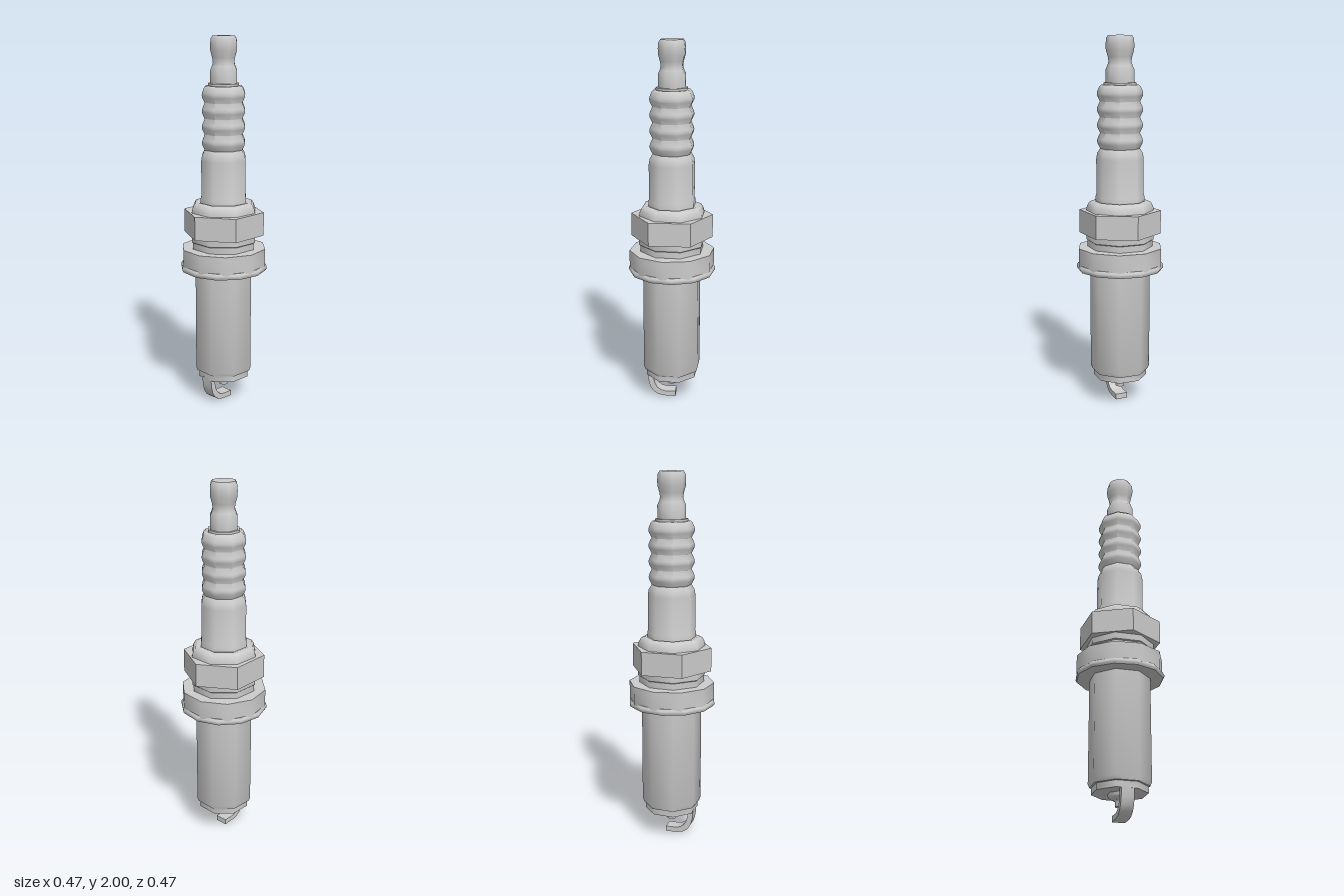
import * as THREE from 'three';
import { toCreasedNormals } from 'three/addons/utils/BufferGeometryUtils.js';

const material = new THREE.MeshStandardMaterial({ color: 0xcccccc });

export function createModel() {
  const model = new THREE.Group();

  const add = (name, geometry, crease = 0.9) => {
    const mesh = new THREE.Mesh(toCreasedNormals(geometry, crease), material);
    mesh.name = name;
    model.add(mesh);
    return mesh;
  };

  // Turned part from [radius, height] pairs, listed bottom to top
  const turned = (name, profile, sides = 8, start = 0) =>
    add(name, new THREE.LatheGeometry(
      profile.map(([r, y]) => new THREE.Vector2(r, y)), sides, start));

  // Metal terminal with a waisted tip
  turned('terminal', [
    [0, 1.74], [0.087, 1.74], [0.087, 1.757], [0.075, 1.757], [0.075, 1.825],
    [0.066, 1.845], [0.06, 1.865], [0.064, 1.89], [0.074, 1.925],
    [0.075, 1.955], [0.072, 1.985], [0.062, 2], [0, 2],
  ]);

  // Ceramic insulator: plain barrel, then evenly spaced ribs
  const ribs = [];
  for (let i = 0; i < 4; i++) {
    const y = 1.45 + i * 0.083;
    ribs.push([0.106, y - 0.04], [0.12, y - 0.012], [0.122, y], [0.12, y + 0.012]);
  }
  turned('insulator', [
    [0, 1.1], [0.131, 1.1], [0.131, 1.155], [0.127, 1.165], [0.127, 1.355],
    [0.122, 1.385], ...ribs, [0.11, 1.735], [0.1, 1.745], [0, 1.745],
  ]);

  // Crimped collar that runs down through the nut to the flange
  turned('collar', [
    [0, 0.86], [0.176, 0.86], [0.176, 0.91], [0.183, 0.915], [0.183, 1.075],
    [0.178, 1.1], [0.165, 1.122], [0.145, 1.13], [0.125, 1.125],
  ]);

  // Hexagonal wrench nut, turned slightly off axis
  const nut = add('hexNut', new THREE.CylinderGeometry(0.221, 0.221, 0.127, 6), 0.3);
  nut.position.y = 1.013;
  nut.rotation.y = -0.07;

  // Seat flange and sealing ring
  turned('flange', [
    [0.15, 0.775], [0.232, 0.775], [0.232, 0.876], [0.15, 0.876],
  ], 10, Math.PI / 2);
  turned('sealingRing', [
    [0.15, 0.752], [0.232, 0.752], [0.237, 0.76], [0.237, 0.773],
    [0.228, 0.785], [0.15, 0.785],
  ], 12);

  // Long shell with a stepped lower end
  turned('shell', [
    [0, 0.138], [0.146, 0.138], [0.146, 0.172], [0.155, 0.174],
    [0.163, 0.194], [0.163, 0.78],
  ]);

  // Insulator nose and centre electrode
  turned('insulatorNose', [
    [0, 0.106], [0.04, 0.106], [0.06, 0.12], [0.062, 0.15],
  ]);
  turned('centreElectrode', [
    [0, 0.072], [0.024, 0.072], [0.024, 0.098], [0.033, 0.108],
  ]);

  // Bent ground electrode: a strip that curls under the centre
  const t = 0.03;
  const strip = new THREE.Shape();
  strip.moveTo(-0.135, 0.145);
  strip.bezierCurveTo(-0.135, 0.06, -0.11, 0.005, -0.04, 0.002);
  strip.lineTo(0.023, 0);
  strip.lineTo(0.023, t);
  strip.lineTo(-0.035, t);
  strip.bezierCurveTo(-0.085, 0.035, -0.105, 0.075, -0.105, 0.145);
  const bar = new THREE.ExtrudeGeometry(strip, { depth: 0.068, bevelEnabled: false, curveSegments: 5 });
  bar.translate(0, 0, -0.034);
  add('groundElectrode', bar).rotation.y = 0.436;

  return model;
}
